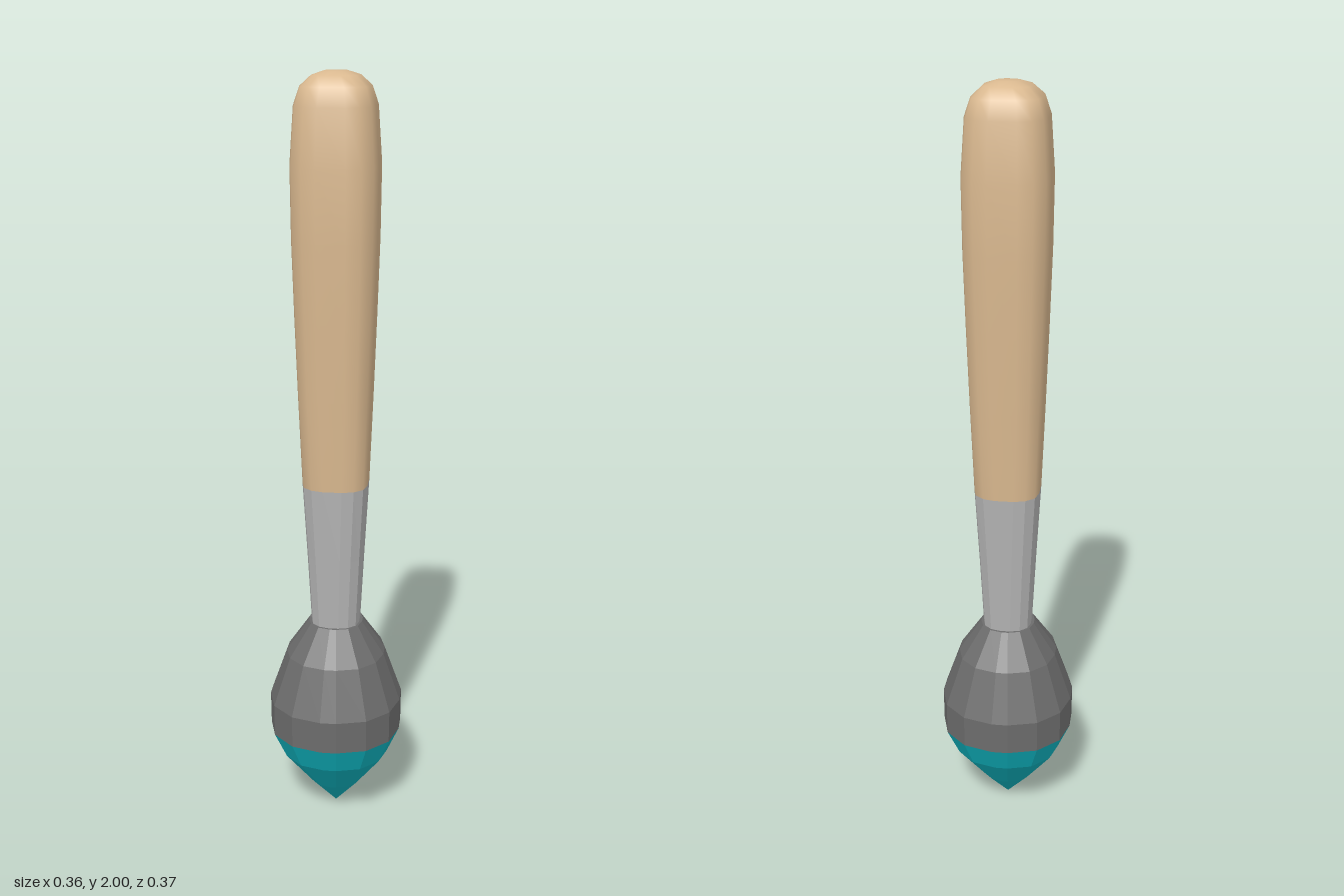
import * as THREE from 'three';

// One quadrant of each cross-section, as fractions of the half widths
const ROUND = [[1, 0.16], [0.88, 0.57], [0.56, 0.88], [0.12, 1]];
const SQUARE = [[1, 0.36], [0.92, 0.7], [0.67, 0.91], [0.34, 1]];

// Mirror a quadrant into a closed outline, blending from round (0) to square (1)
function outline(blend) {
  const q = ROUND.map(([x, z], i) => [
    x + (SQUARE[i][0] - x) * blend,
    z + (SQUARE[i][1] - z) * blend,
  ]);
  const r = [...q].reverse();
  const flip = (pts, sx, sz) => pts.map(([x, z]) => [x * sx, z * sz]);
  return [...q, ...flip(r, -1, 1), ...flip(q, -1, -1), ...flip(r, 1, -1)];
}

// Loft through rings of [y, half width x, half width z, blend], bottom to top
function loft(name, color, rings, flatShading) {
  const positions = [], index = [];
  const n = 16;
  rings.forEach(([y, hx, hz, blend], j) => {
    for (const [x, z] of outline(blend)) positions.push(x * hx, y, z * hz);
    if (j === 0) return;
    for (let i = 0; i < n; i++) {
      const a = (j - 1) * n + i, b = (j - 1) * n + (i + 1) % n;
      index.push(a, a + n, b + n, a, b + n, b);
    }
  });
  const geometry = new THREE.BufferGeometry();
  geometry.setAttribute('position', new THREE.Float32BufferAttribute(positions, 3));
  geometry.setIndex(index);
  geometry.computeVertexNormals();
  const mesh = new THREE.Mesh(geometry, new THREE.MeshStandardMaterial({ color, flatShading }));
  mesh.name = name;
  return mesh;
}

export function createModel() {
  const group = new THREE.Group();
  group.name = 'paintbrush';

  // Wooden handle, swelling towards a rounded end
  group.add(loft('handle', 0xd9b88f, [
    [0.96, 0.085, 0.09, 0.8],
    [1.2, 0.094, 0.1, 1],
    [1.4, 0.101, 0.108, 1],
    [1.6, 0.107, 0.115, 1],
    [1.78, 0.109, 0.117, 1],
    [1.92, 0.1, 0.102, 1],
    [1.965, 0.085, 0.087, 1],
    [1.99, 0.058, 0.06, 0.8],
    [2, 0.028, 0.028, 0.5],
    [2, 0, 0, 0],
  ], false));

  // Metal ferrule
  group.add(loft('ferrule', 0xb4b4b4, [
    [0.56, 0.064, 0.066, 0.4],
    [0.76, 0.074, 0.078, 0.6],
    [0.96, 0.085, 0.09, 0.8],
  ], true));

  // Bristles, closed on top around the ferrule
  group.add(loft('bristles', 0x6c6c6c, [
    [0.255, 0.177, 0.184, 0],
    [0.344, 0.178, 0.185, 0],
    [0.476, 0.132, 0.137, 0],
    [0.565, 0.072, 0.074, 0],
    [0.565, 0, 0, 0],
  ], true));

  // Paint-covered tip
  group.add(loft('paintTip', 0x0fb3bf, [
    [0, 0, 0, 0],
    [0.08, 0.068, 0.071, 0],
    [0.18, 0.144, 0.149, 0],
    [0.255, 0.177, 0.184, 0],
  ], true));

  return group;
}
